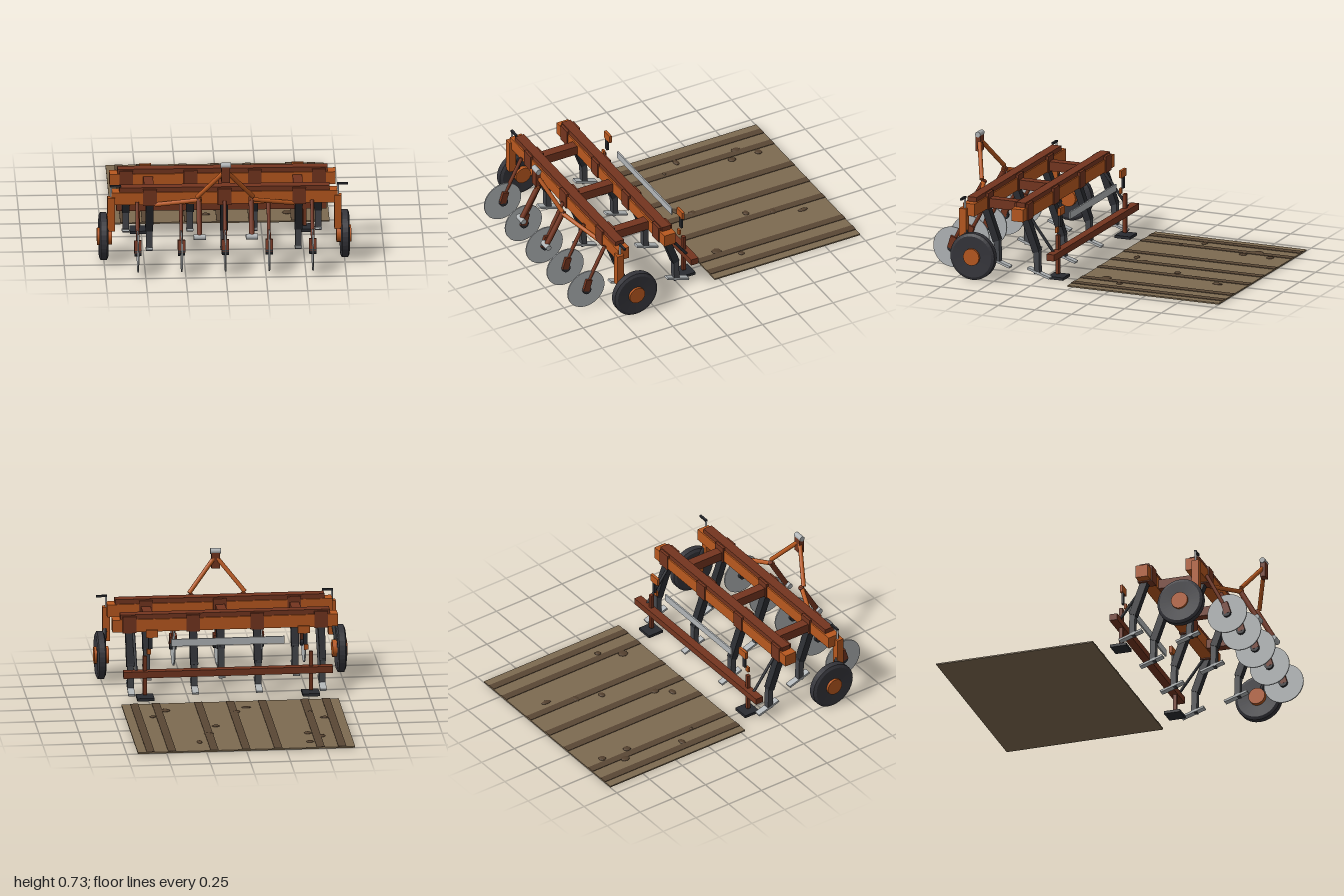
import * as THREE from 'three';

const mat = (name, color, extra = {}) => Object.assign(new THREE.MeshStandardMaterial({ color, ...extra }), { name });
const M = {
  orange: mat('orange paint', 0xb8581f),
  red: mat('dark red paint', 0x74351f),
  black: mat('black steel', 0x2a2c31),
  tyre: mat('tyre rubber', 0x35353b),
  shank: mat('dark grey steel', 0x45474c),
  silver: mat('bare steel', 0xb2b6b8),
  soil: mat('soil', 0x7d6a50),
  furrow: mat('furrow soil', 0x594735),
  clod: mat('clod soil', 0x54412f),
};

export function createModel() {
  const root = new THREE.Group();
  root.name = 'tillageImplement';

  const add = (name, geo, m, x = 0, y = 0, z = 0) => {
    const mesh = new THREE.Mesh(geo, m);
    mesh.name = name;
    mesh.position.set(x, y, z);
    root.add(mesh);
    return mesh;
  };
  // box given by centre and size
  const box = (name, m, x, y, z, w, h, d) => add(name, new THREE.BoxGeometry(w, h, d), m, x, y, z);
  // round bar between two points
  const bar = (name, m, a, b, r, sides = 10) => {
    const p = new THREE.Vector3(...a), q = new THREE.Vector3(...b);
    const dir = q.clone().sub(p);
    const mesh = add(name, new THREE.CylinderGeometry(r, r, dir.length(), sides), m);
    mesh.position.copy(p).add(q).multiplyScalar(0.5);
    mesh.quaternion.setFromUnitVectors(new THREE.Vector3(0, 1, 0), dir.normalize());
    return mesh;
  };
  // flat bar in the y-z plane between two points
  const flatBar = (name, m, x, [y1, z1], [y2, z2], w, t) => {
    const mesh = box(name, m, x, (y1 + y2) / 2, (z1 + z2) / 2, w, Math.hypot(y2 - y1, z2 - z1), t);
    mesh.rotation.x = Math.atan2(z1 - z2, y1 - y2);
    return mesh;
  };

  // main frame
  const frontZ = 0.69, rearZ = 0.36;
  for (const [side, z] of [['front', frontZ], ['rear', rearZ]]) {
    box(side + 'Beam', M.orange, 0, 0.43, z, 1.41, 0.08, 0.08);
    box(side + 'BeamCap', M.red, 0, 0.485, z, 1.31, 0.03, 0.062);
  }
  for (const x of [-0.465, 0, 0.465]) box('frameRail', M.red, x, 0.425, 0.525, 0.06, 0.06, 0.27);

  // tines: clamp, bent shank and share
  const tine = (x, z) => {
    box('tineClamp', M.red, x, 0.438, z, 0.085, 0.106, 0.094);
    flatBar('tineShankUpper', M.black, x, [0.4, z - 0.01], [0.18, z - 0.09], 0.048, 0.045);
    flatBar('tineShankLower', M.shank, x, [0.2, z - 0.09], [0.04, z - 0.095], 0.04, 0.036);
    flatBar('tineShare', M.silver, x, [0.07, z - 0.03], [0.02, z - 0.18], 0.042, 0.014);
  };
  for (const x of [-0.6, -0.2, 0.2, 0.6]) tine(x, rearZ);
  for (const x of [-0.465, 0, 0.465]) tine(x, frontZ);

  // coulter discs
  for (const x of [-0.545, -0.273, 0, 0.273, 0.545]) {
    bar('discArm', M.red, [x, 0.41, 0.735], [x, 0.14, 0.875], 0.012);
    bar('coulterDisc', M.silver, [x - 0.004, 0.13, 0.87], [x + 0.004, 0.13, 0.87], 0.13, 32);
    bar('discHub', M.black, [x - 0.022, 0.13, 0.87], [x + 0.022, 0.13, 0.87], 0.028, 14);
    flatBar('discYoke', M.red, x, [0.2, 0.855], [0.125, 0.878], 0.046, 0.042);
  }

  // three-point headstock
  for (const s of [-1, 1]) {
    bar('headstockTube', M.orange, [s * 0.175, 0.475, 0.835], [s * 0.012, 0.67, 0.922], 0.014);
    bar('headstockBrace', M.orange, [s * 0.43, 0.388, 0.725], [s * 0.15, 0.458, 0.835], 0.014);
    bar('lowerLinkArm', M.red, [s * 0.163, 0.468, 0.82], [s * 0.163, 0.245, 0.945], 0.017);
    bar('lowerLinkPin', M.silver, [s * 0.125, 0.25, 0.945], [s * 0.2, 0.25, 0.945], 0.018, 14);
  }
  bar('topLinkBrace', M.orange, [-0.16, 0.462, 0.83], [-0.155, 0.47, 0.832], 0.014);
  box('topLinkBlock', M.red, 0, 0.66, 0.925, 0.054, 0.105, 0.032);
  bar('topLinkPin', M.silver, [-0.033, 0.717, 0.925], [0.033, 0.717, 0.925], 0.018, 14);

  // gauge wheels with brackets and cranks
  const tyreProfile = [[0.05, -0.024], [0.132, -0.028], [0.15, -0.019], [0.15, 0.019], [0.132, 0.028], [0.05, 0.024]]
    .map(([r, h]) => new THREE.Vector2(r, h));
  for (const s of [-1, 1]) {
    box('wheelBracket', M.orange, s * 0.707, 0.33, 0.722, 0.046, 0.22, 0.046);
    bar('wheelArm', M.black, [s * 0.715, 0.3, 0.71], [s * 0.735, 0.15, 0.637], 0.014);
    const tyre = add('wheelTyre', new THREE.LatheGeometry(tyreProfile, 32).toNonIndexed(), M.tyre, s * 0.752, 0.15, 0.637);
    tyre.geometry.computeVertexNormals();
    tyre.rotation.z = Math.PI / 2;
    bar('wheelHub', M.orange, [s * 0.70, 0.15, 0.637], [s * 0.792, 0.15, 0.637], 0.054, 20);
    const cx = s * 0.707;
    bar('crankPost', M.silver, [cx, 0.43, 0.715], [cx, 0.51, 0.715], 0.007);
    box('crankHandle', M.black, cx + 0.028, 0.51, 0.715, 0.068, 0.012, 0.014);
  }

  // trailing levelling bar with stands
  box('levellingBar', M.red, 0, 0.166, 0.157, 1.31, 0.042, 0.052);
  box('guardPlate', M.silver, 0, 0.363, 0.157, 0.71, 0.046, 0.01);
  for (const s of [-1, 1]) {
    bar('levellingStrut', M.black, [s * 0.573, 0.39, 0.33], [s * 0.573, 0.172, 0.165], 0.009);
    box('standPost', M.red, s * 0.52, 0.155, 0.165, 0.024, 0.25, 0.022);
    box('standFoot', M.black, s * 0.518, 0.011, 0.16, 0.107, 0.018, 0.105);
    box('standBlock', M.orange, s * 0.492, 0.303, 0.183, 0.026, 0.034, 0.014);
    box('standSpring', M.black, s * 0.485, 0.363, 0.163, 0.026, 0.075, 0.014);
    box('standCap', M.orange, s * 0.475, 0.425, 0.161, 0.075, 0.048, 0.018);
  }

  // worked soil with furrows and clods
  box('soilBed', M.soil, 0, 0.0045, -0.485, 1.36, 0.009, 1.03);
  for (const x of [-0.6, -0.465, -0.2, 0, 0.2, 0.465, 0.6]) {
    box('furrow', M.furrow, x, 0.0105, -0.485, 0.05, 0.004, 1.03);
  }
  const clods = [
    [-0.41, -0.87, 0.024, 0.024], [-0.495, -0.755, 0.024, 0.03], [-0.415, -0.685, 0.024, 0.026],
    [0.275, -0.812, 0.017, 0.034], [0.2, -0.64, 0.03, 0.02], [0.14, -0.483, 0.025, 0.02],
    [-0.553, -0.363, 0.03, 0.018], [-0.475, -0.238, 0.015, 0.012], [-0.02, -0.19, 0.022, 0.026],
    [0.42, -0.123, 0.03, 0.032], [0.512, -0.25, 0.02, 0.02], [-0.088, -0.106, 0.03, 0.018],
  ];
  for (const [x, z, rx, rz] of clods) {
    add('soilClod', new THREE.SphereGeometry(1, 10, 6), M.clod, x, 0.009, z).scale.set(rx, 0.008, rz);
  }
  return root;
}
